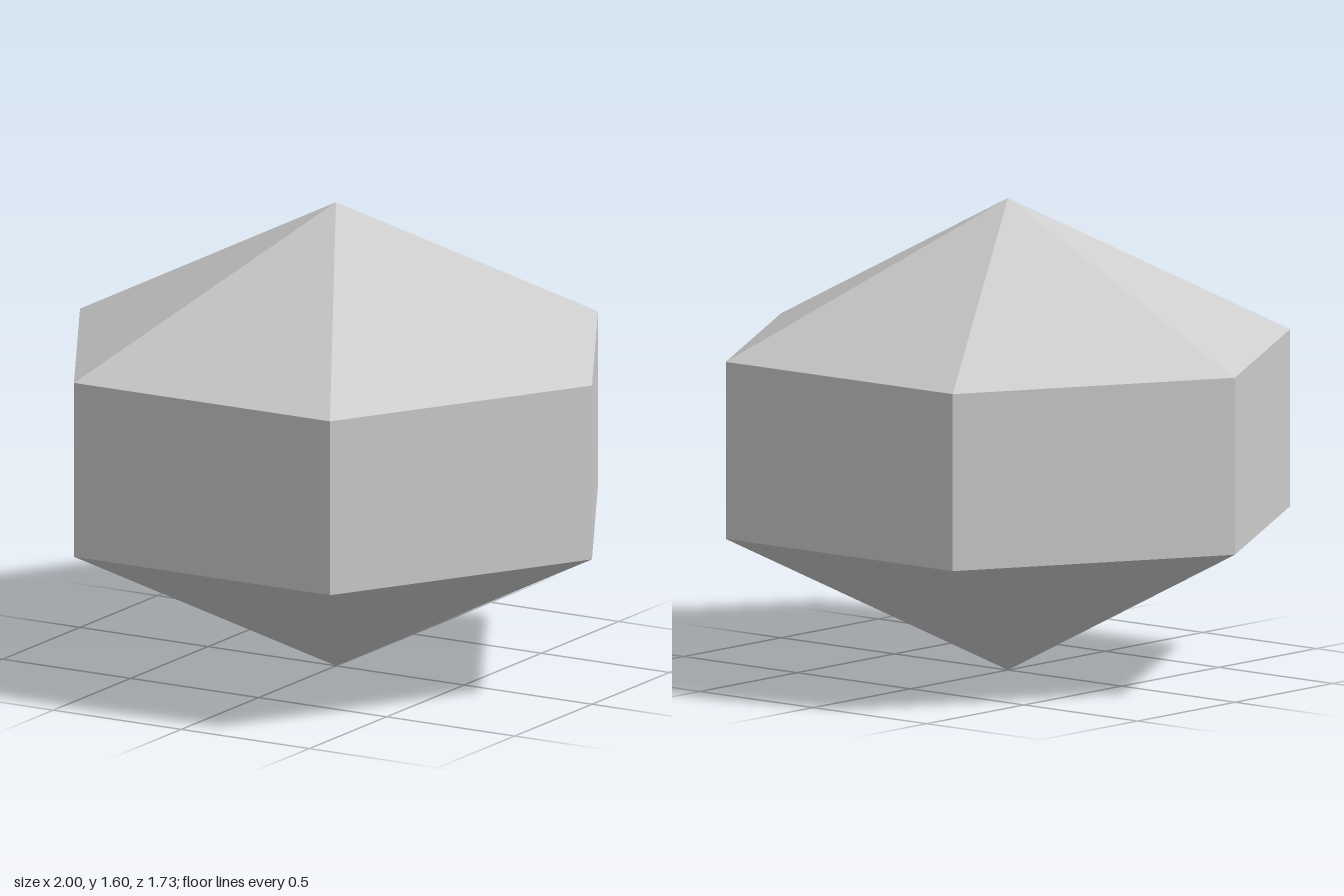
import * as THREE from 'three';

const SIDES = 6;
const RADIUS = 1;
const CAP_HEIGHT = 0.5;
const BAND_HEIGHT = 0.6;

export function createModel() {
  const group = new THREE.Group();
  group.name = 'hexagonalCrystal';

  const grey = new THREE.MeshStandardMaterial({ color: 0xcccccc, flatShading: true });
  grey.name = 'light grey';

  // Six-sided open ring with corners on the x axis, faceted normals
  const addPart = (name, topRadius, bottomRadius, height, baseY) => {
    const geometry = new THREE.CylinderGeometry(
      topRadius, bottomRadius, height, SIDES, 1, true, Math.PI / 2
    ).toNonIndexed();
    geometry.computeVertexNormals();
    const mesh = new THREE.Mesh(geometry, grey);
    mesh.name = name;
    mesh.position.y = baseY + height / 2;
    group.add(mesh);
  };

  // Lower point, upright band and upper point
  addPart('lowerPyramid', 0, RADIUS, CAP_HEIGHT, 0);
  addPart('middleBand', RADIUS, RADIUS, BAND_HEIGHT, CAP_HEIGHT);
  addPart('upperPyramid', 0, RADIUS, CAP_HEIGHT, CAP_HEIGHT + BAND_HEIGHT);

  // Turn the lower pyramid point down
  group.getObjectByName('lowerPyramid').rotation.x = Math.PI;

  return group;
}
